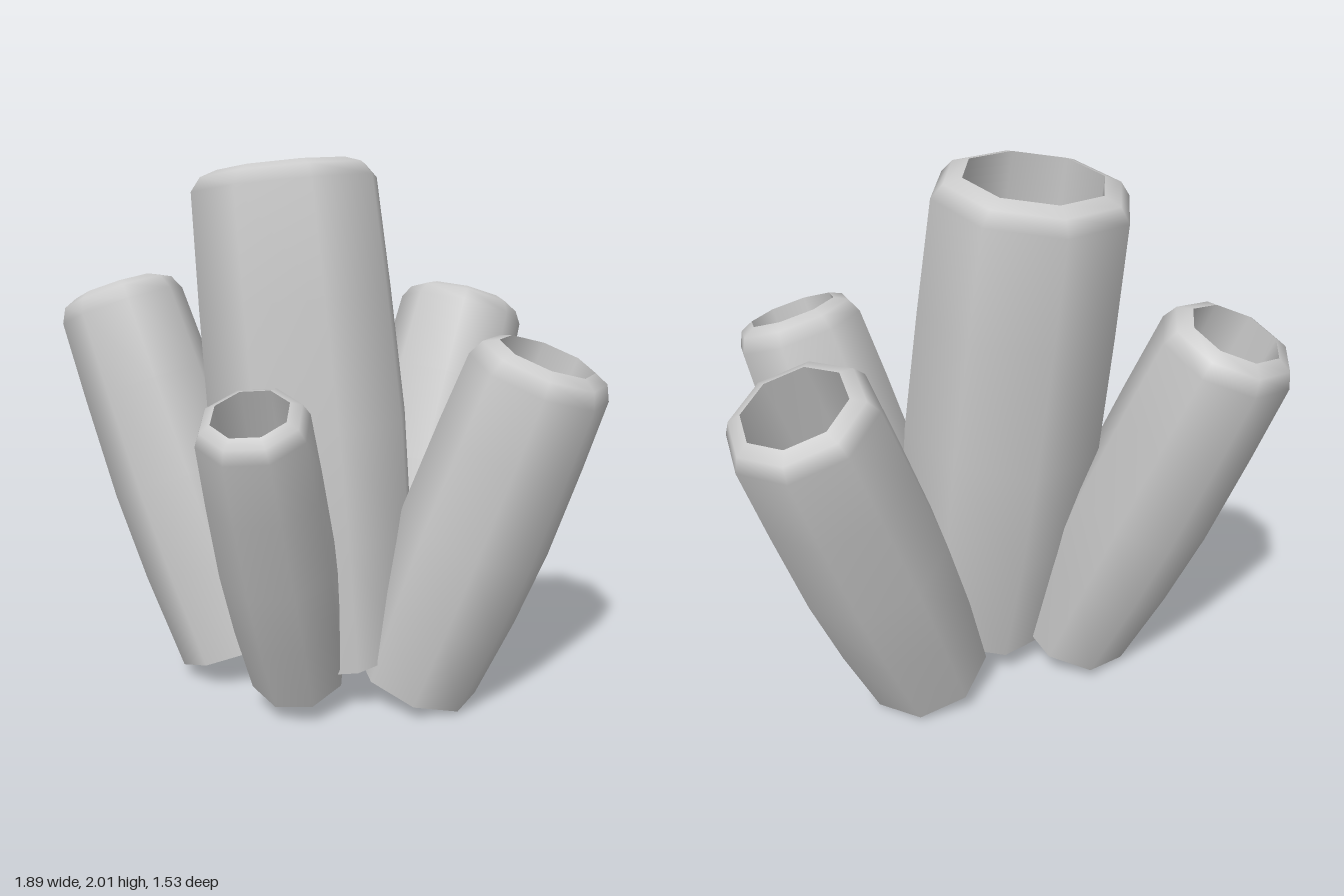
import * as THREE from 'three';

const SIDES = 8;
const material = new THREE.MeshStandardMaterial({ color: 0xcccccc, side: THREE.DoubleSide });

function lathe(name, points, twist) {
  const profile = points.map(([r, y]) => new THREE.Vector2(r, y));
  const mesh = new THREE.Mesh(new THREE.LatheGeometry(profile, SIDES, twist), material);
  mesh.name = name;
  return mesh;
}

// One tube, open underneath, with a swollen wall, a bevelled lip and a deep rounded cavity
function makeTube(name, { base, mouth, radius: R, hole, lip, twist = 0 }) {
  const start = new THREE.Vector3(...base);
  const axis = new THREE.Vector3(...mouth).sub(start);
  const length = axis.length();

  const tube = new THREE.Group();
  tube.name = name;
  tube.add(
    lathe('tubeWall', [
      [R * 0.94, 0],
      [R * 1.05, length * 0.25],
      [R * 1.09, length * 0.48],
      [R * 1.05, length * 0.74],
      [R, length - lip],
      [R * 0.89, length - lip * 0.3],
      [hole, length],
    ], twist),
    // The rim between wall and cavity stays a sharp edge
    lathe('tubeCavity', [
      [hole, length],
      [hole * 1.02, length * 0.7],
      [hole * 0.97, length * 0.4],
      [hole * 0.83, length * 0.23],
      [hole * 0.5, length * 0.14],
      [0, length * 0.11],
    ], twist),
  );

  tube.position.copy(start);
  tube.quaternion.setFromUnitVectors(new THREE.Vector3(0, 1, 0), axis.normalize());
  return tube;
}

export function createModel() {
  const model = new THREE.Group();
  model.name = 'tubeCluster';

  const turn = Math.PI / SIDES;
  const tubes = {
    centralTube: { base: [-0.04, 0.15, 0.06], mouth: [-0.15, 1.97, -0.17], radius: 0.352, hole: 0.25, lip: 0.07 },
    backRightTube: { base: [-0.365, 0.105, -0.155], mouth: [-0.73, 1.5, -0.56], radius: 0.243, hole: 0.163, lip: 0.08 },
    backLeftTube: { base: [0.265, 0.09, -0.2], mouth: [0.735, 1.41, -0.52], radius: 0.257, hole: 0.18, lip: 0.07, twist: turn },
    frontLeftTube: { base: [0.245, 0.077, 0.235], mouth: [0.6, 1.345, 0.5], radius: 0.256, hole: 0.175, lip: 0.08, twist: turn },
    frontRightTube: { base: [-0.215, 0.135, 0.205], mouth: [-0.47, 1.248, 0.6], radius: 0.19, hole: 0.13, lip: 0.065 },
  };
  for (const [name, spec] of Object.entries(tubes)) model.add(makeTube(name, spec));

  return model;
}
